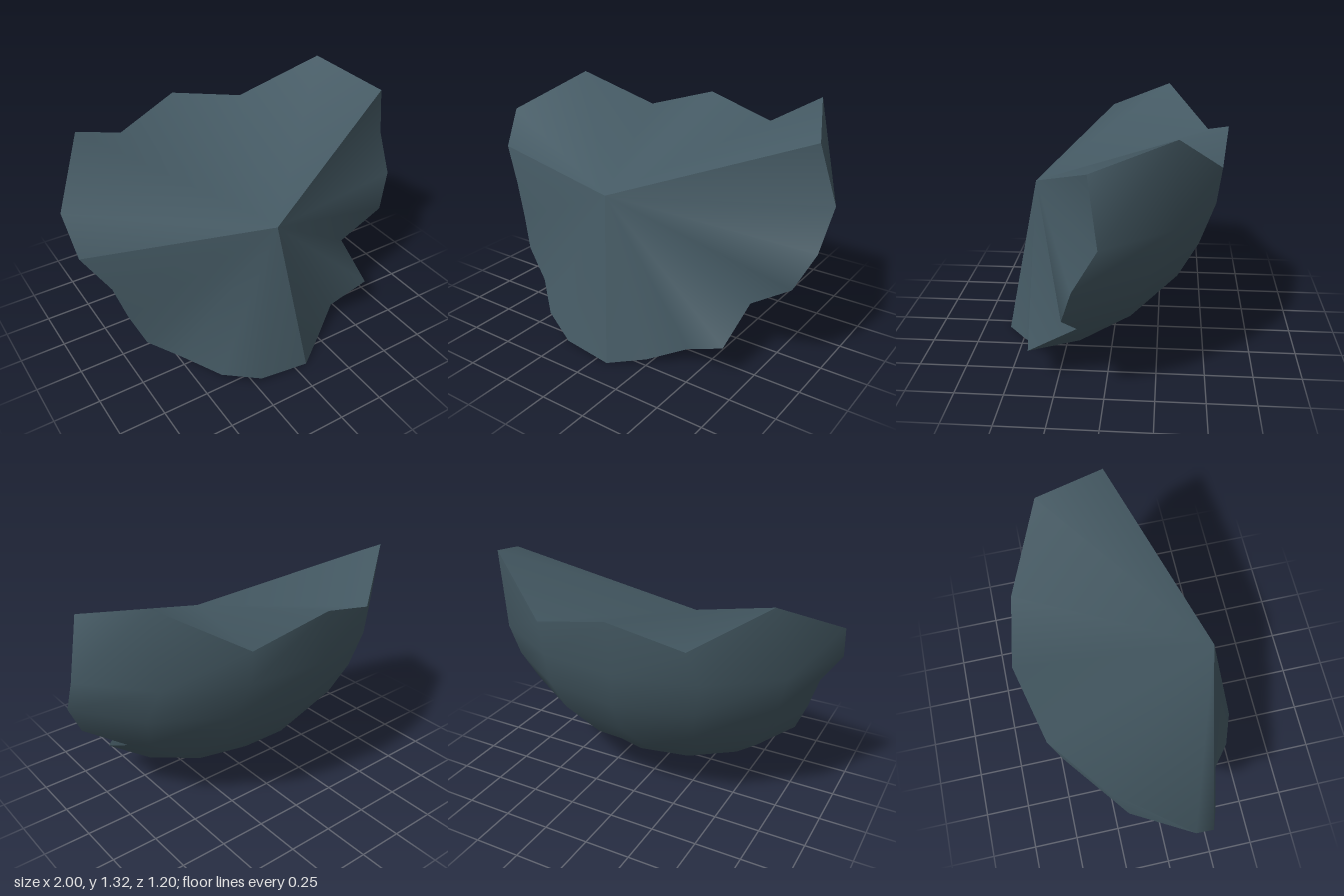
import * as THREE from 'three';

const CENTRE = new THREE.Vector3(0.02, 1.13, 0.53); // centre of the curved outside
const APEX = [-0.04, 0.86, 0.44]; // where the broken faces meet
const BOTTOM = [0.07, 0, 0.6];

// jagged rim, in three stretches
const topRim = [
  [0.92, 1.21, 0.05], [0.75, 1.32, -0.33], [0.36, 1.08, -0.55], [-0.06, 1.18, -0.6],
  [-0.43, 1.07, -0.51], [-0.76, 1.27, -0.28], [-1, 1.08, 0.08],
];
const leftRim = [ // from the top down, on the -x side
  [-0.98, 0.88, 0.19], [-0.86, 0.69, 0.25], [-0.8, 0.5, 0.27], [-0.73, 0.33, 0.31],
  [-0.57, 0.195, 0.37], [-0.41, 0.09, 0.5], [-0.21, 0.022, 0.58],
];
const rightRim = [ // from the top down, on the +x side
  [1, 0.9, 0], [0.98, 0.69, 0.12], [0.89, 0.5, 0.18], [0.65, 0.33, 0.14],
  [0.64, 0.19, 0.39], [0.42, 0.09, 0.36], [0.24, 0.022, 0.48],
];

function surface(name, points, index, material) {
  const geometry = new THREE.BufferGeometry();
  geometry.setAttribute('position', new THREE.Float32BufferAttribute(points.flat(), 3));
  geometry.setIndex(index);
  geometry.computeVertexNormals();
  const mesh = new THREE.Mesh(geometry, material);
  mesh.name = name;
  return mesh;
}

// broken face: a smooth fan from the apex to a stretch of rim
function brokenFace(name, rim, material) {
  const index = [];
  for (let i = 1; i < rim.length; i++) index.push(0, i, i + 1);
  return surface(name, [APEX, ...rim], index, material);
}

// level arc on the sphere, from a right rim point round the back to a left one
function arc(right, left, columns) {
  const angle = (p) => {
    const a = Math.atan2(CENTRE.z - p[2], p[0] - CENTRE.x);
    return a < -Math.PI / 2 ? a + Math.PI * 2 : a;
  };
  const a0 = angle(right), a1 = angle(left);
  const row = [right];
  for (let j = 1; j < columns; j++) {
    const t = j / columns;
    const a = THREE.MathUtils.lerp(a0, a1, t);
    const y = THREE.MathUtils.lerp(right[1], left[1], t);
    const r = Math.sqrt(1.132 ** 2 - (CENTRE.y - y) ** 2);
    row.push([CENTRE.x + r * Math.cos(a), y, CENTRE.z - r * Math.sin(a)]);
  }
  row.push(left);
  return row;
}

function outerShell(material) {
  const columns = topRim.length - 1;
  const rows = [topRim, ...rightRim.map((p, i) => arc(p, leftRim[i], columns))];
  const points = [...rows.flat(), BOTTOM];
  const index = [];
  const w = columns + 1;
  for (let i = 0; i < rows.length; i++) {
    for (let j = 0; j < columns; j++) {
      const a = i * w + j, b = a + 1, c = a + w, d = c + 1;
      if (i < rows.length - 1) index.push(a, c, b, b, c, d);
      else index.push(a, points.length - 1, b); // closes on the bottom point
    }
  }
  return surface('outerShell', points, index, material);
}

export function createModel() {
  const group = new THREE.Group();
  group.name = 'sphereFragment';
  const stone = new THREE.MeshStandardMaterial({ color: 0x455a64 });
  stone.name = 'slateBlue';

  group.add(
    outerShell(stone),
    brokenFace('topBreak', [...topRim, leftRim[0]], stone),
    brokenFace('leftBreak', [...leftRim, BOTTOM], stone),
    brokenFace('rightBreak', [BOTTOM, ...[...rightRim].reverse(), topRim[0]], stone),
  );
  return group;
}
